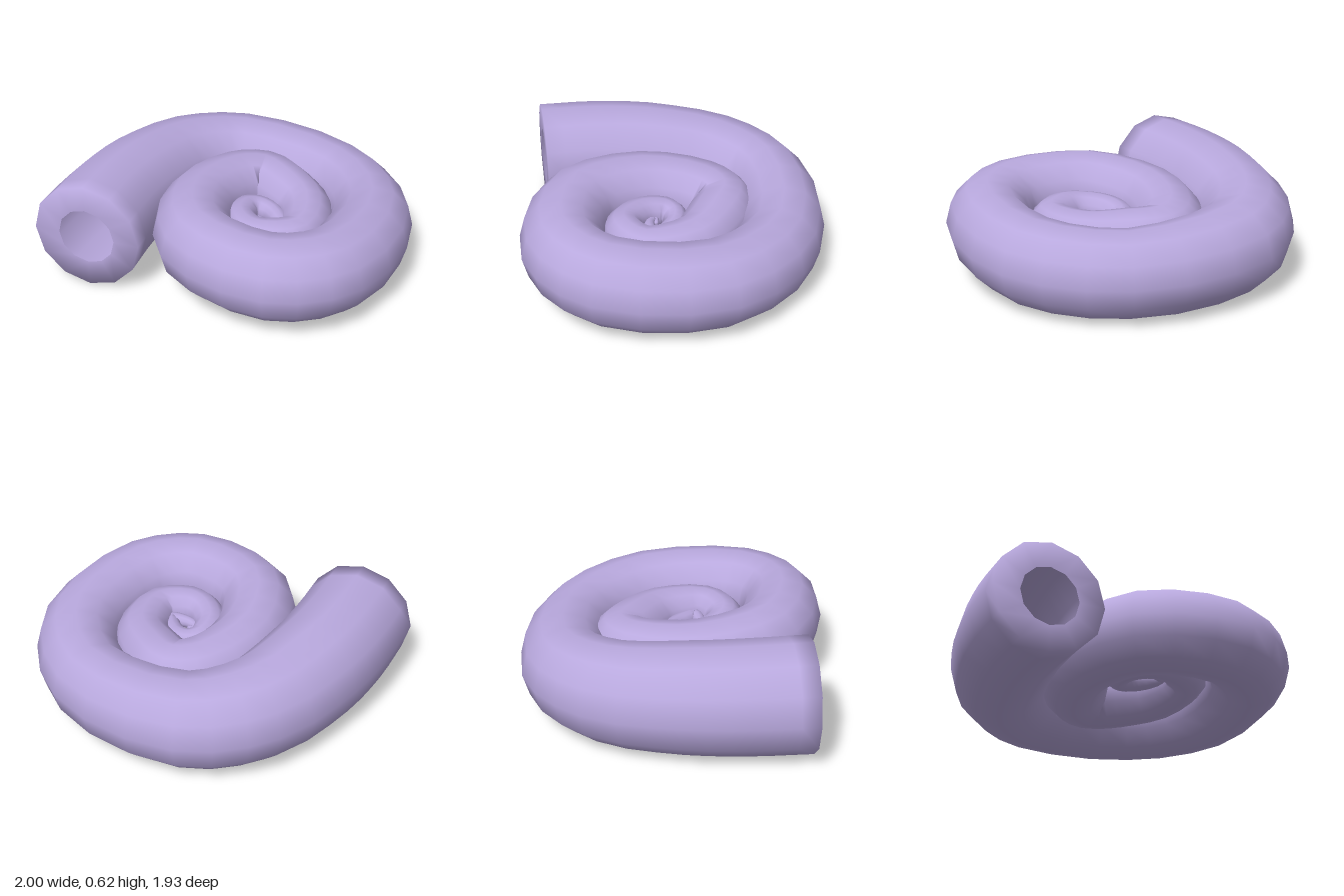
import * as THREE from 'three';

const SIDES = 12;
const UP = new THREE.Vector3(0, 1, 0);

// Centre line from mouth to tip: x, z, tube radius
const COIL = [
  [-0.82, -0.25, 0.311], [-0.56, -0.43, 0.306], [-0.275, -0.58, 0.298], [0.14, -0.694, 0.277],
  [0.49, -0.58, 0.254], [0.77, -0.03, 0.23], [0.615, 0.46, 0.236], [0.11, 0.726, 0.236],
  [-0.215, 0.607, 0.232], [-0.357, 0.17, 0.228], [-0.12, -0.18, 0.215], [0.22, -0.282, 0.203],
  [0.37, -0.215, 0.194], [0.393, -0.04, 0.183], [0.358, 0.193, 0.158], [0.16, 0.373, 0.129],
  [-0.002, 0.305, 0.118], [-0.043, 0.2, 0.104], [-0.005, 0.06, 0.094], [0.095, -0.013, 0.085],
  [0.165, 0.01, 0.073], [0.195, 0.1, 0.06], [0.15, 0.238, 0.047], [0.09, 0.185, 0.036],
  [0.065, 0.12, 0.028], [0.08, 0.085, 0.02], [0.105, 0.125, 0.012],
];

// The coil lies in a plane that tips down slightly towards +x
const heightAt = (x) => Math.min(0.315, 0.29 - 0.06 * x);
const curve = new THREE.CatmullRomCurve3(
  COIL.map(([x, z]) => new THREE.Vector3(x, heightAt(x), z)));

function radiusAt(t) {
  const f = t * (COIL.length - 1);
  const i = Math.min(Math.floor(f), COIL.length - 2);
  return THREE.MathUtils.lerp(COIL[i][2], COIL[i + 1][2], f - i);
}

// Skin round sections, each given as [t along the coil, radius factor]
function loft(sections) {
  const positions = [];
  const index = [];
  sections.forEach(([t, factor], i) => {
    const centre = curve.getPoint(t);
    const side = curve.getTangent(t).cross(UP).normalize();
    const r = radiusAt(t) * factor;
    for (let j = 0; j < SIDES; j++) {
      const a = (j / SIDES) * Math.PI * 2;
      const p = centre.clone()
        .addScaledVector(side, r * Math.cos(a))
        .addScaledVector(UP, r * Math.sin(a));
      positions.push(p.x, p.y, p.z);
      if (i === sections.length - 1) continue;
      const here = i * SIDES + j;
      const beside = i * SIDES + ((j + 1) % SIDES);
      index.push(here, here + SIDES, beside, beside, here + SIDES, beside + SIDES);
    }
  });
  const geometry = new THREE.BufferGeometry();
  geometry.setAttribute('position', new THREE.Float32BufferAttribute(positions, 3));
  geometry.setIndex(index);
  geometry.computeVertexNormals();
  return geometry;
}

export function createModel() {
  const group = new THREE.Group();
  group.name = 'spiralShell';

  // Flat lip with a round opening, then the coiled wall, closed at the tip
  const sections = [[0, 0.53]];
  const steps = (COIL.length - 1) * 3;
  for (let i = 0; i <= steps; i++) sections.push([i / steps, 1]);
  sections.push([1, 0]);

  const coil = new THREE.Mesh(
    loft(sections),
    new THREE.MeshStandardMaterial({ color: 0xb8a8dd, side: THREE.DoubleSide }));
  coil.name = 'coil';
  group.add(coil);

  return group;
}
